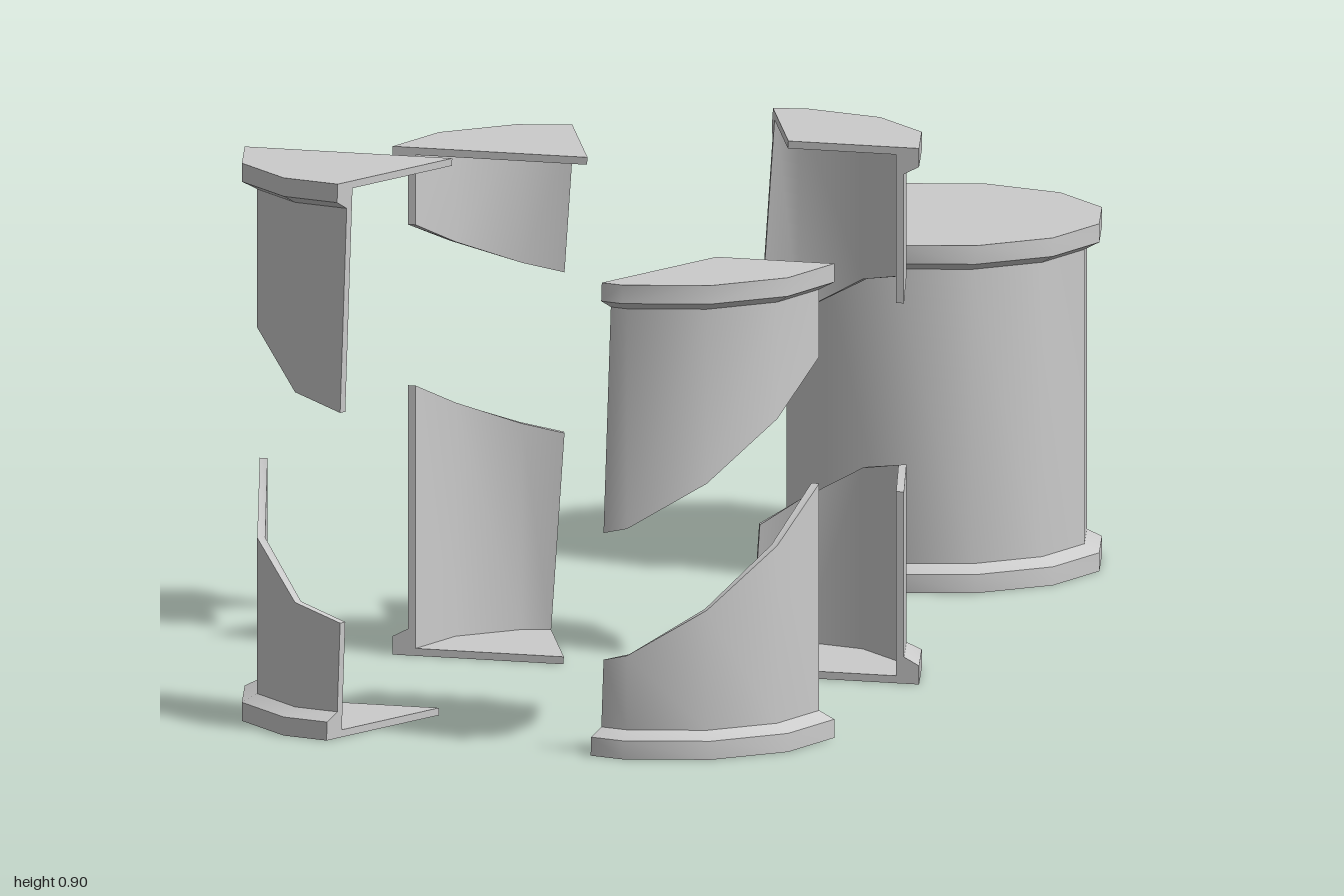
import * as THREE from 'three';
import { toCreasedNormals } from 'three/addons/utils/BufferGeometryUtils.js';

const H = 0.562, RIM = 0.27, BODY = 0.245, INNER = 0.232, LID = 0.012;
const RIM_H = 0.03, TAPER_H = 0.043, CREASE = 0.6;
const material = new THREE.MeshStandardMaterial({ color: 0xcccccc });

// Slightly tilted cut planes that split each half: x = a + b*y + c*z
const frontCut = { a: 0.052, b: 0.04, c: -0.43, edge: [90, 120] };
const backCut = { a: 0.013, b: 0.0714, c: 0.4, edge: [-90, -120] };

// Each quarter: where it lies, how far its top is lifted, and the height of
// the jagged break at every corner angle and at the cut
const quarters = [
  { name: 'frontLeft', x: 0.218, z: 0.73, lift: 0.205, cut: frontCut,
    angles: [0, 30, 60, 90], breaks: [0.41, 0.33, 0.237, 0.163, 0.152] },
  { name: 'frontRight', x: -0.22, z: 0.73, lift: 0.34, cut: frontCut,
    angles: [180, 150, 120], breaks: [0.4, 0.295, 0.212, 0.187] },
  { name: 'backLeft', x: 0.218, z: 0.263, lift: 0.305, cut: backCut,
    angles: [0, -30, -60, -90], breaks: [0.31, 0.33, 0.305, 0.24, 0.2] },
  { name: 'backRight', x: -0.115, z: 0.263, lift: 0.26, cut: backCut,
    angles: [180, 210, 240], breaks: [0.437, 0.39, 0.345, 0.33] },
];

function polar(r, y, degrees) {
  const t = THREE.MathUtils.degToRad(degrees);
  return new THREE.Vector3(r * Math.cos(t), y, r * Math.sin(t));
}

// Point where the twelve-sided ring of radius r meets the cut plane
function onCut(r, y, cut) {
  const p = polar(r, y, cut.edge[0]), q = polar(r, y, cut.edge[1]);
  const gap = (v) => v.x - (cut.a + cut.b * y + cut.c * v.z);
  return p.clone().lerp(q, gap(p) / (gap(p) - gap(q)));
}

// Solid through a row of matching loops, capped at both ends
function loft(loops, outline) {
  const tris = [];
  const n = outline.length;
  for (let i = 0; i < loops.length - 1; i++) {
    const a = loops[i], b = loops[i + 1];
    for (let j = 0; j < n; j++) {
      const k = (j + 1) % n;
      tris.push([a[j], b[j], b[k]], [a[j], b[k], a[k]]);
    }
  }
  const caps = THREE.ShapeUtils.triangulateShape(outline, []);
  const ccw = THREE.ShapeUtils.area(outline) > 0;
  const last = loops[loops.length - 1];
  for (const [i, j, k] of caps) {
    const [p, q] = ccw ? [j, k] : [k, j];
    tris.push([loops[0][i], loops[0][p], loops[0][q]], [last[i], last[q], last[p]]);
  }
  // Turn the faces outward
  const cross = new THREE.Vector3();
  const volume = tris.reduce((s, [a, b, c]) => s + a.dot(cross.crossVectors(b, c)), 0);
  const points = tris.flatMap(([a, b, c]) => (volume < 0 ? [a, c, b] : [a, b, c]));
  const geometry = new THREE.BufferGeometry().setFromPoints(points);
  return toCreasedNormals(geometry, CREASE);
}

function addMesh(parent, name, geometry) {
  const mesh = new THREE.Mesh(geometry, material);
  mesh.name = name;
  parent.add(mesh);
}

// Curved wall with its rim, ending in the jagged break
function shellGeometry({ angles, breaks, cut }, top) {
  const flip = (y) => (top ? H - y : y);
  const profile = (brk) => [
    [INNER, flip(0)], [RIM, flip(0)], [RIM, flip(RIM_H)],
    [BODY, flip(TAPER_H)], [BODY, brk], [INNER, brk],
  ];
  const loops = breaks.map((brk, i) => profile(brk).map(([r, y]) =>
    (i < angles.length ? polar(r, y, angles[i]) : onCut(r, y, cut))));
  const outline = profile(breaks[0]).map(([r, y]) => new THREE.Vector2(r, y));
  return loft(loops, outline);
}

// Thin end plate filling the quarter inside the wall
function plateGeometry({ angles, cut }, top) {
  const ring = (y) => [
    new THREE.Vector3(cut.a + cut.b * y, y, 0),
    ...angles.map((d) => polar(INNER, y, d)),
    onCut(INNER, y, cut),
  ];
  const y = top ? H - LID : 0;
  const low = ring(y);
  return loft([low, ring(y + LID)], low.map((p) => new THREE.Vector2(p.x, p.z)));
}

export function createModel() {
  const model = new THREE.Group();
  model.name = 'wholeAndBrokenDrum';

  // Whole drum
  const profile = [
    [0, 0], [RIM, 0], [RIM, RIM_H], [BODY, TAPER_H],
    [BODY, H - TAPER_H], [RIM, H - RIM_H], [RIM, H], [0, H],
  ].map(([r, y]) => new THREE.Vector2(r, y));
  const whole = new THREE.Group();
  whole.name = 'wholeDrum';
  whole.position.set(0.218, 0, -0.73);
  addMesh(whole, 'drumBody', toCreasedNormals(new THREE.LatheGeometry(profile, 12), CREASE));
  model.add(whole);

  // Eight fragments of the broken drum
  for (const quarter of quarters) {
    for (const top of [false, true]) {
      const piece = new THREE.Group();
      piece.name = quarter.name + (top ? 'TopFragment' : 'BottomFragment');
      piece.position.set(quarter.x, top ? quarter.lift : 0, quarter.z);
      addMesh(piece, 'brokenWall', shellGeometry(quarter, top));
      addMesh(piece, top ? 'lidPlate' : 'basePlate', plateGeometry(quarter, top));
      model.add(piece);
    }
  }
  return model;
}
